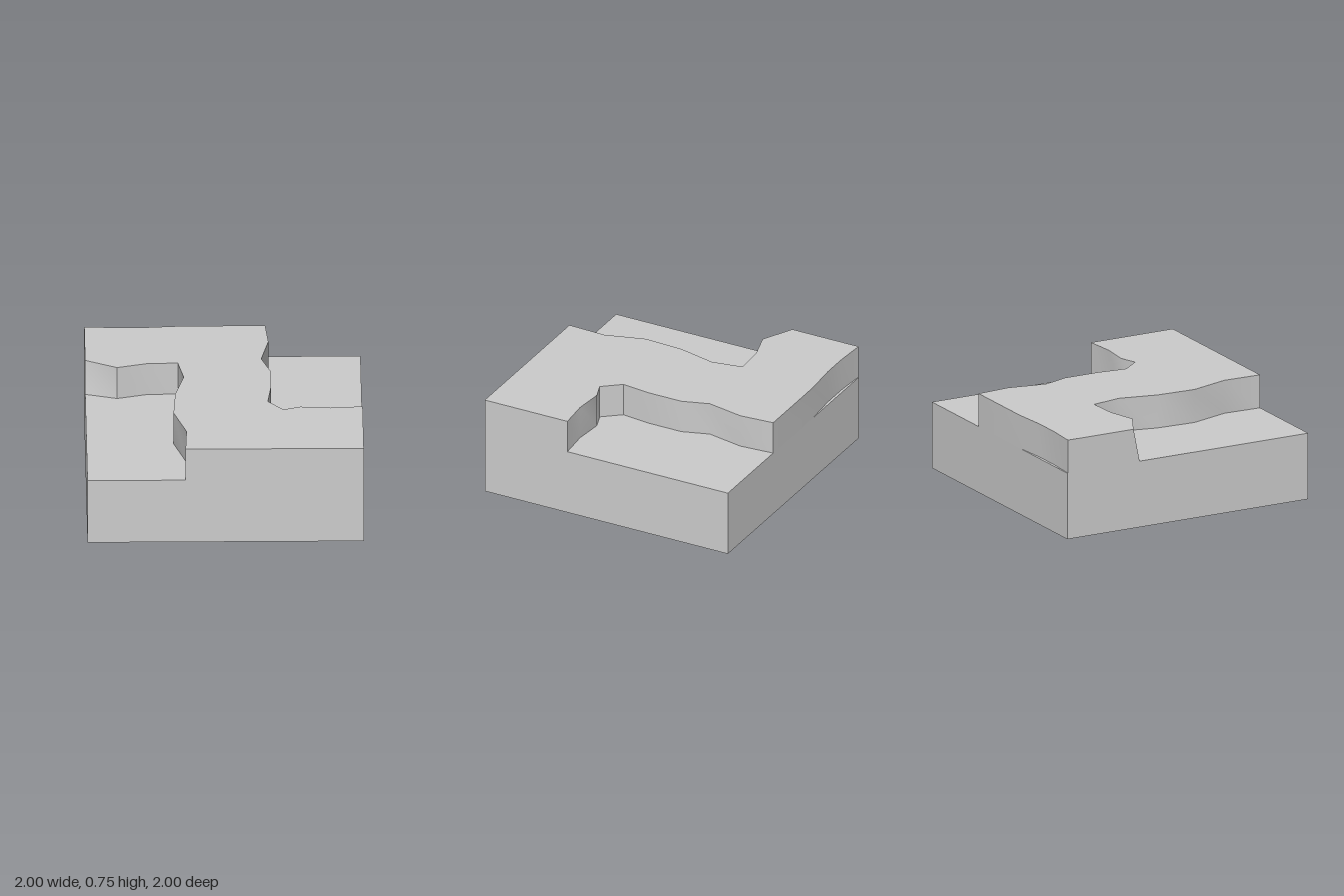
import * as THREE from 'three';
import { toCreasedNormals } from 'three/addons/utils/BufferGeometryUtils.js';

const BASE = 0.5, TOP = 0.75;

// Cliff lines as [x, z], walked around the plateau
const leftCliff = [
  [-1, -0.4], [-0.77, -0.33], [-0.56, -0.39], [-0.33, -0.4], [-0.29, -0.17],
  [-0.355, 0.11], [-0.37, 0.41], [-0.28, 0.71], [-0.29, 1],
];
const rightCliff = [
  [1, 0.32], [0.77, 0.34], [0.55, 0.32], [0.425, 0.365], [0.315, 0.23], [0.34, 0],
  [0.34, -0.26], [0.275, -0.46], [0.33, -0.74], [0.31, -1],
];
const backEdge = [[-0.29, -1], [-0.56, -0.98], [-0.77, -0.98], [-1, -0.995]];

function plateauGeometry() {
  const outline = [...leftCliff, [1, 1], ...rightCliff, ...backEdge];
  const shape = new THREE.Shape(outline.map(([x, z]) => new THREE.Vector2(x, z)));
  const geo = new THREE.ExtrudeGeometry(shape, { depth: TOP - BASE, bevelEnabled: false });
  geo.rotateX(Math.PI / 2).translate(0, TOP, 0);

  // Lean the cliff back at its outer top corner
  const p = geo.attributes.position;
  for (let i = 0; i < p.count; i++) {
    if (p.getX(i) < -0.99 && p.getY(i) > 0.7 && Math.abs(p.getZ(i) + 0.4) < 0.01) p.setZ(i, -0.45);
  }
  return toCreasedNormals(geo, Math.PI / 6);
}

export function createModel() {
  const group = new THREE.Group();
  group.name = 'cliffTile';
  const material = new THREE.MeshStandardMaterial({ color: 0xcccccc });

  // Square lower ground
  const base = new THREE.Mesh(new THREE.BoxGeometry(2, BASE, 2), material);
  base.name = 'lowerGround';
  base.position.y = BASE / 2;

  // Raised ground crossing the tile in a Z shape
  const plateau = new THREE.Mesh(plateauGeometry(), material);
  plateau.name = 'plateau';

  group.add(base, plateau);
  return group;
}
